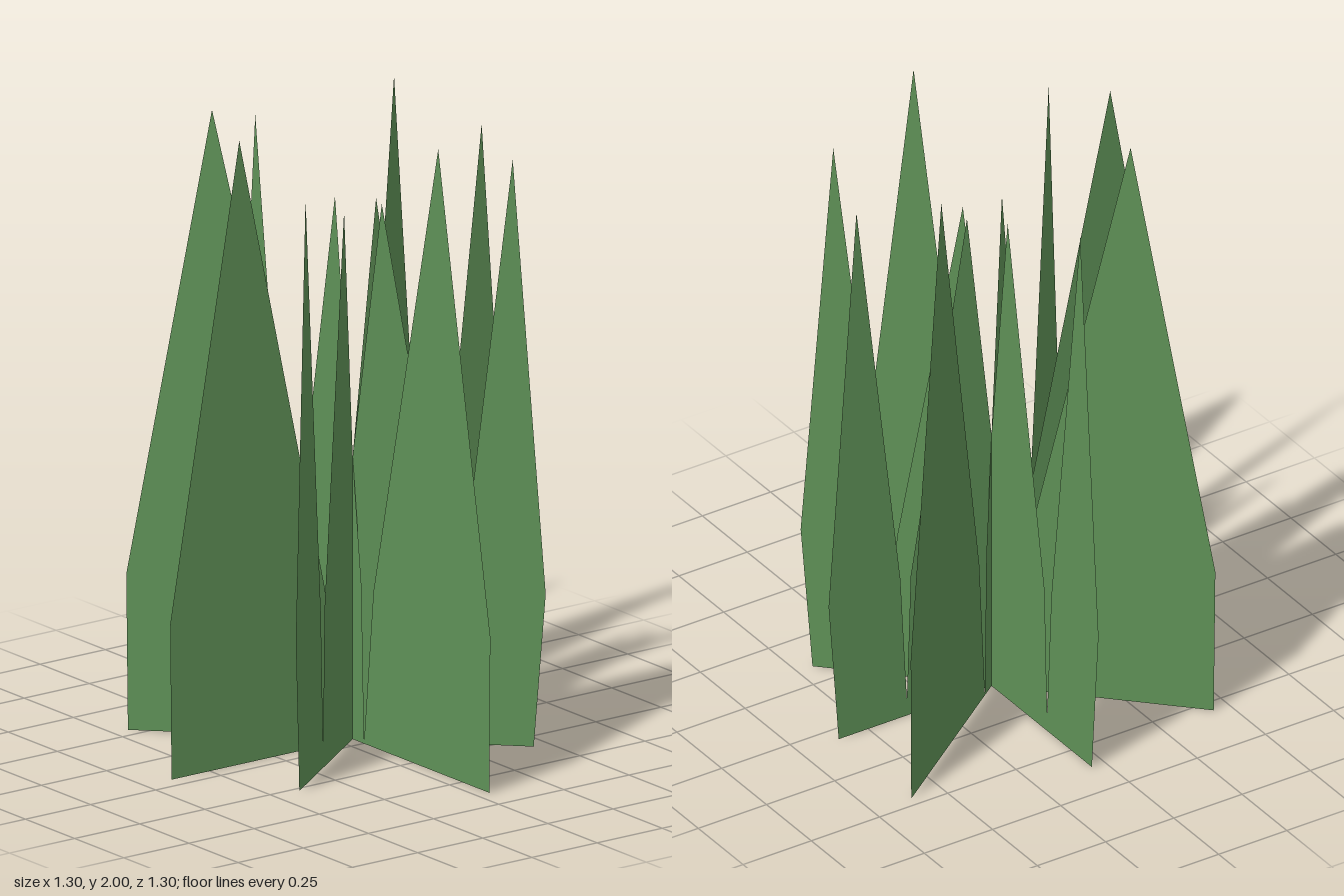
import * as THREE from 'three';

export function createModel() {
  const group = new THREE.Group();
  group.name = 'grassTuft';
  const material = new THREE.MeshStandardMaterial({
    color: 0x5f9157, side: THREE.DoubleSide, flatShading: true,
  });

  // One flat card: three pointed blades joined near the ground
  const outline = [
    [-0.56, 0], [-0.597, 0.49], [-0.495, 1.88], [-0.334, 0.5], // short outer blade
    [-0.31, 0.05], [-0.296, 0.5], [-0.09, 1.72], [0.045, 0.5], // middle blade
    [0.058, 0.005], [0.106, 0.5], [0.435, 2], [0.7, 0.5], [0.695, 0], // tall wide blade
  ];
  const shape = new THREE.Shape(outline.map(([x, y]) => new THREE.Vector2(x, y)));
  const card = new THREE.ShapeGeometry(shape);

  // Direction of each card's tall blade in degrees, turning from +x towards +z
  const directions = { across: 0, lengthwise: 90, frontDiagonal: 135, backDiagonal: 234 };
  for (const [name, degrees] of Object.entries(directions)) {
    const blades = new THREE.Mesh(card, material);
    blades.name = `${name}Blades`;
    blades.rotation.y = -THREE.MathUtils.degToRad(degrees);
    blades.position.set(-0.056, 0, -0.048);
    group.add(blades);
  }
  return group;
}
